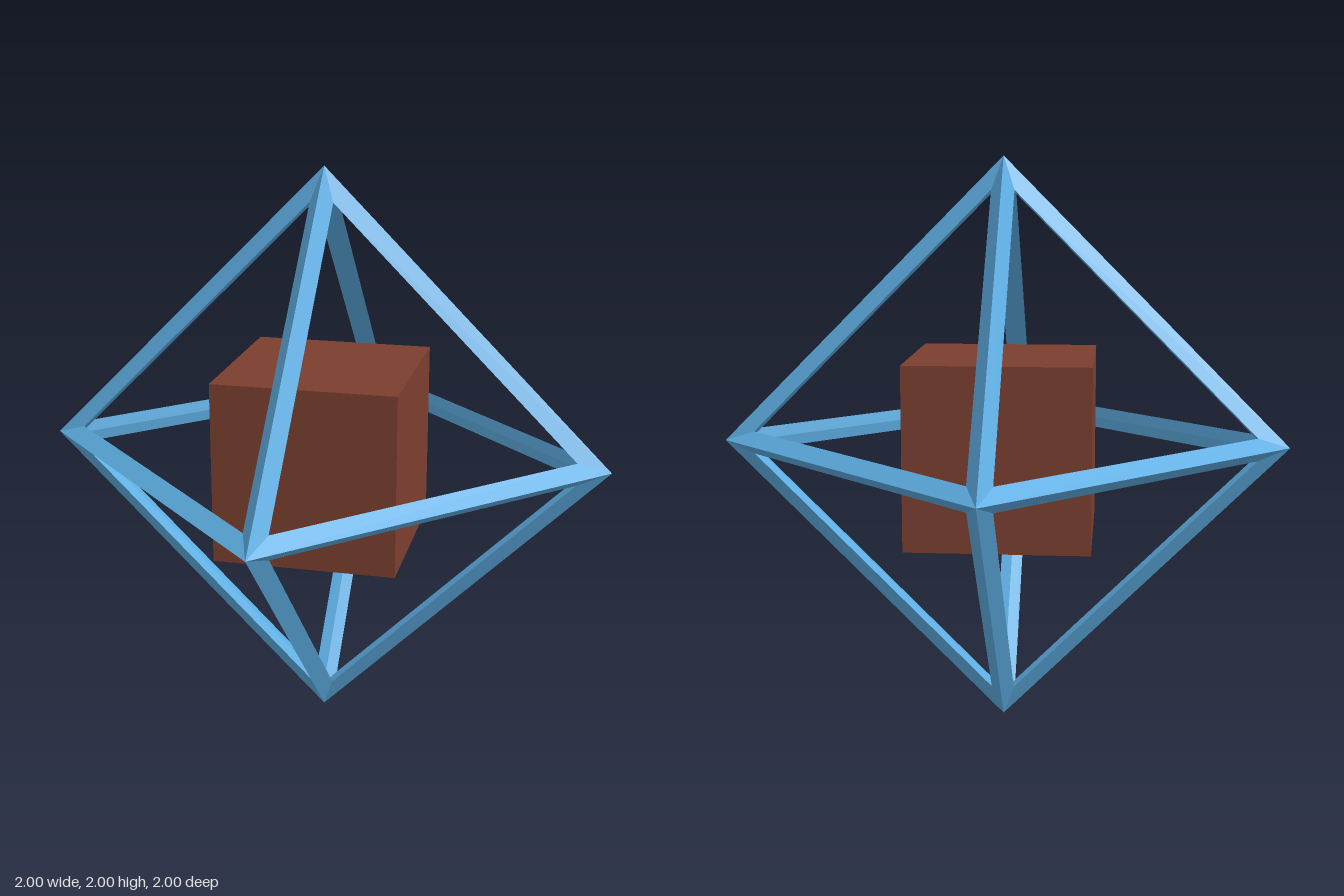
import * as THREE from 'three';

const CORNER = 0.885;  // window corner, measured along its own axis
const HALF_BAR = 0.04; // half width of a bar
const INNER = 0.915;   // tip of the inner ridges

// Point on a face: 'main' along one axis, 'side' along the other two
function facePoint(signs, axis, main, side) {
  return signs.map((s, i) => s * (i === axis ? main : side));
}

function createFrameGeometry() {
  const positions = [];
  const quad = (a, b, c, d) => positions.push(...a, ...b, ...c, ...a, ...c, ...d);

  for (const sx of [1, -1]) for (const sy of [1, -1]) for (const sz of [1, -1]) {
    const signs = [sx, sy, sz];
    const order = sx * sy * sz > 0 ? [0, 1, 2] : [0, 2, 1];
    // Each face holds one half of each of its three bars
    for (let k = 0; k < 3; k++) {
      const i = order[k], j = order[(k + 1) % 3];
      const [tipA, tipB] = [i, j].map((a) => facePoint(signs, a, 1, 0));
      const [rimA, rimB] = [i, j].map((a) => facePoint(signs, a, CORNER, HALF_BAR));
      const [ridgeA, ridgeB] = [i, j].map((a) => facePoint(signs, a, INNER, 0));
      quad(tipA, tipB, rimB, rimA);     // outward slope
      quad(rimA, rimB, ridgeB, ridgeA); // inward slope
    }
  }
  const geometry = new THREE.BufferGeometry();
  geometry.setAttribute('position', new THREE.Float32BufferAttribute(positions, 3));
  geometry.computeVertexNormals();
  return geometry;
}

export function createModel() {
  const model = new THREE.Group();
  model.name = 'octahedronWithCube';

  // Open octahedral frame with mitred bars
  const frame = new THREE.Mesh(
    createFrameGeometry(),
    new THREE.MeshStandardMaterial({ color: 0x5dade2, flatShading: true })
  );
  frame.name = 'octahedronFrame';
  frame.position.y = 1;

  // Solid cube floating in the middle
  const cube = new THREE.Mesh(
    new THREE.BoxGeometry(0.635, 0.635, 0.635),
    new THREE.MeshStandardMaterial({ color: 0x7b3f30 })
  );
  cube.name = 'innerCube';
  cube.position.y = 1;

  model.add(frame, cube);
  return model;
}
